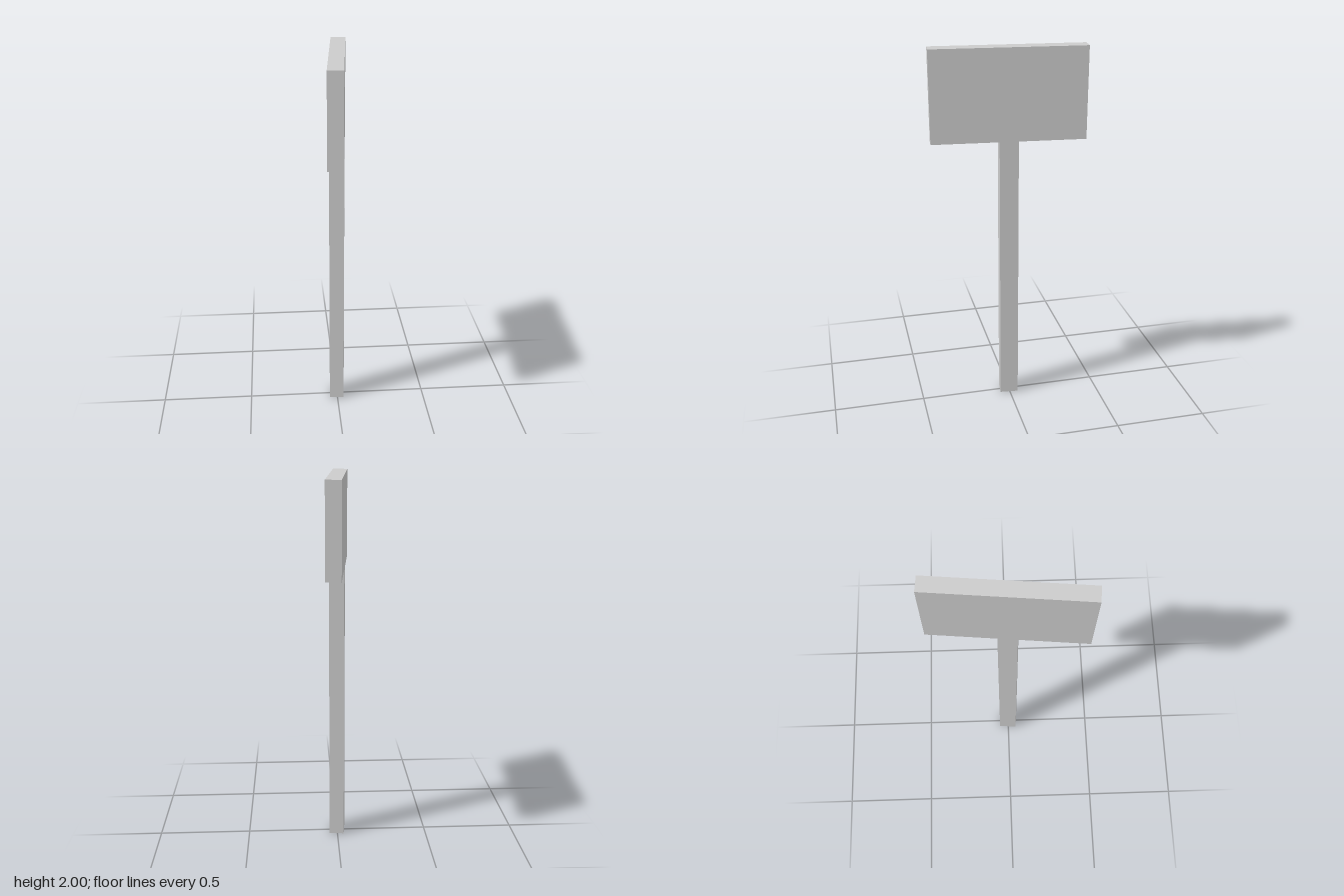
import * as THREE from 'three';

export function createModel() {
  const group = new THREE.Group();
  const material = new THREE.MeshStandardMaterial({ color: 0xcccccc, flatShading: true });

  const height = 2, boardBottom = 1.515, thickness = 0.08;
  const boardHalf = 0.405, postHalf = 0.05;

  // Post and board share flush faces, so they are one T-shaped profile
  const half = [
    [postHalf, 0], [postHalf, boardBottom], [boardHalf, boardBottom], [boardHalf, height],
  ];
  const mirrored = half.map(([x, y]) => [-x, y]).reverse();
  const profile = new THREE.Shape([...half, ...mirrored].map(([x, y]) => new THREE.Vector2(x, y)));

  const geometry = new THREE.ExtrudeGeometry(profile, { depth: thickness, bevelEnabled: false });
  geometry.translate(0, 0, -thickness / 2);

  // Board runs along z, turned slightly about the post
  const signpost = new THREE.Mesh(geometry, material);
  signpost.name = 'signpost';
  signpost.rotation.y = Math.PI / 2 - 0.0925;
  group.add(signpost);

  return group;
}
